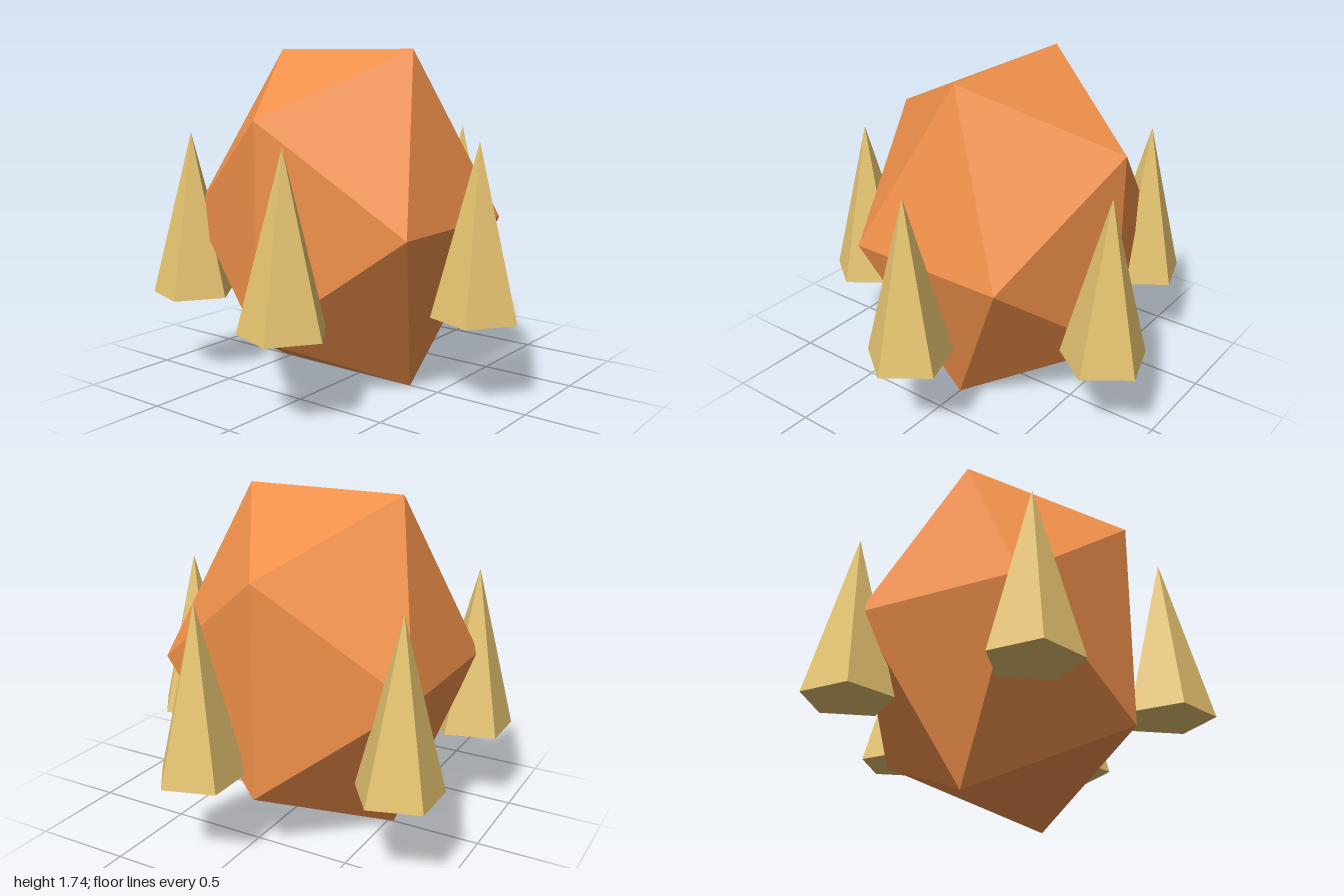
import * as THREE from 'three';

export function createModel() {
  const group = new THREE.Group();
  const centreX = -0.1, centreY = 0.87, radius = 0.818;

  // Faceted body, stretched upwards
  const body = new THREE.Mesh(
    new THREE.IcosahedronGeometry(radius, 0),
    new THREE.MeshStandardMaterial({ color: 0xf0904a, flatShading: true })
  );
  body.name = 'body';
  body.scale.y = 1.25;
  body.position.set(centreX, centreY, 0);
  group.add(body);

  // Ring of five upright spikes, each with a corner pointing to +x
  const spikeGeometry = new THREE.ConeGeometry(0.227, 0.87, 5, 1, false, Math.PI / 2);
  const spikeMaterial = new THREE.MeshStandardMaterial({ color: 0xe6c370, flatShading: true });
  for (let i = 0; i < 5; i++) {
    const angle = (i / 5) * Math.PI * 2;
    const spike = new THREE.Mesh(spikeGeometry, spikeMaterial);
    spike.name = `spike${i + 1}`;
    spike.position.set(centreX + radius * Math.cos(angle), centreY, radius * Math.sin(angle));
    group.add(spike);
  }

  return group;
}
